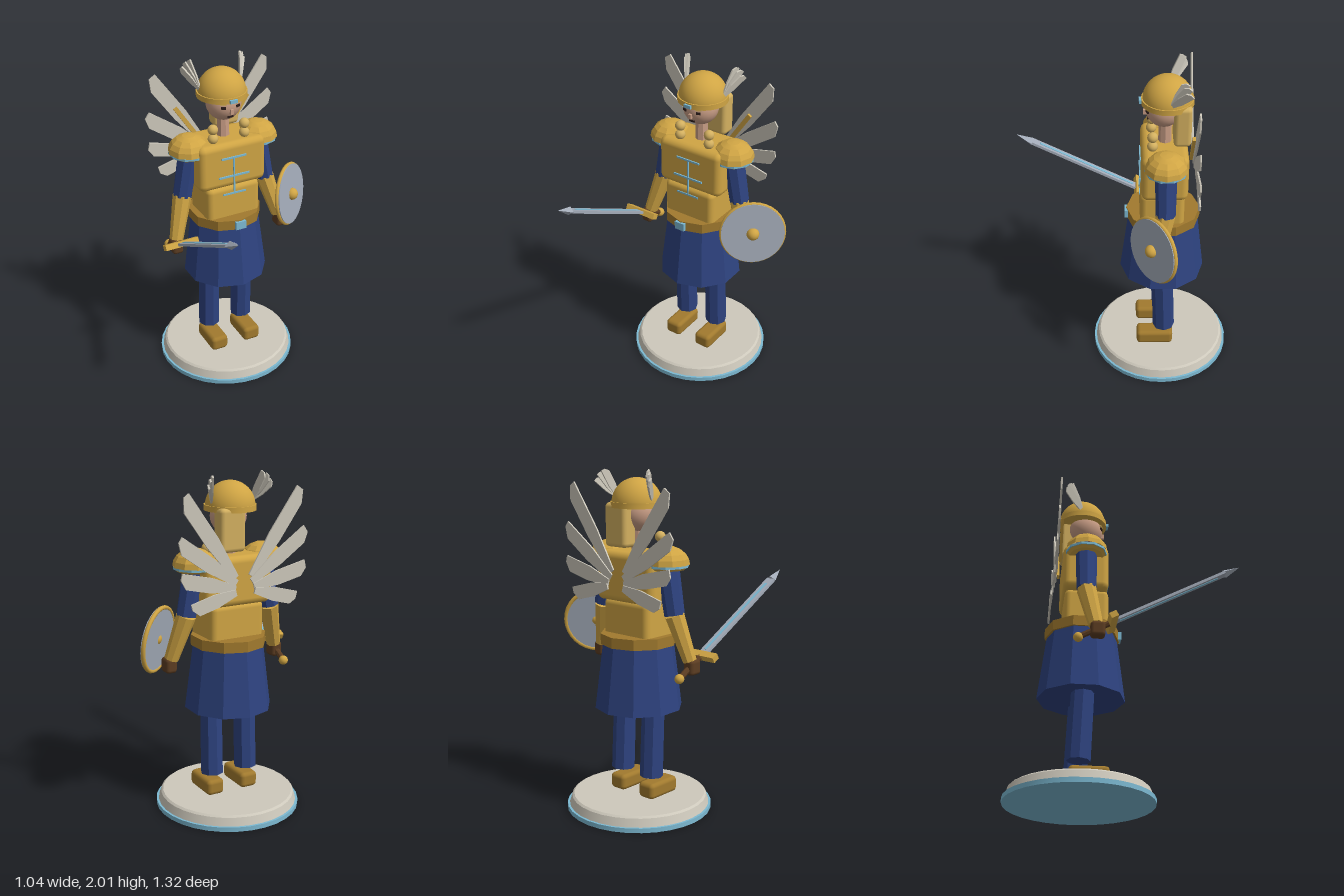
import * as THREE from 'three';
import { RoundedBoxGeometry } from 'three/addons/geometries/RoundedBoxGeometry.js';
import { toCreasedNormals } from 'three/addons/utils/BufferGeometryUtils.js';

const V = (x, y, z) => new THREE.Vector3(x, y, z);

export function createModel() {
  const model = new THREE.Group();
  const figure = new THREE.Group();
  figure.name = 'warriorFigure';
  figure.position.set(-0.063, 0, -0.235);
  model.add(figure);

  const material = (name, color) => {
    const m = new THREE.MeshStandardMaterial({ color });
    m.name = name;
    return m;
  };
  const gold = material('gold', 0xd0a544);
  const bronze = material('bronze', 0xa17a2e);
  const leather = material('leather', 0x5c3d22);
  const navy = material('navy', 0x2e4380);
  const cyan = material('paleBlue', 0x7cb9d2);
  const ivory = material('ivory', 0xcdc8bb);
  const steel = material('steel', 0xa3abb8);
  const skin = material('skin', 0xc79c84);
  const blond = material('blond', 0xd3b060);
  const dark = material('dark', 0x2a1c1a);

  const add = (name, geo, mat, pos = V(0, 0, 0), parent = figure) => {
    const mesh = new THREE.Mesh(geo, mat);
    mesh.name = name;
    mesh.position.copy(pos);
    parent.add(mesh);
    return mesh;
  };
  const faceted = (geo) => toCreasedNormals(geo, 0.3);
  const box = (w, h, d) => new THREE.BoxGeometry(w, h, d);
  const rounded = (w, h, d, r) => new RoundedBoxGeometry(w, h, d, 2, r);
  const cyl = (rt, rb, h, n) => faceted(new THREE.CylinderGeometry(rt, rb, h, n));
  const ball = (r) => new THREE.SphereGeometry(r, 16, 12);

  // Tapered faceted limb between two points
  const limb = (name, a, b, ra, rb, mat) => {
    const dir = b.clone().sub(a);
    const mesh = add(name, cyl(rb, ra, dir.length(), 8), mat, a.clone().add(b).multiplyScalar(0.5));
    mesh.quaternion.setFromUnitVectors(V(0, 1, 0), dir.normalize());
  };

  // Thin feather with a slanted tip, lying across the given normal
  const feather = (name, root, tip, width, normal, slant) => {
    const dir = tip.clone().sub(root);
    const len = dir.length();
    const w = width / 2;
    const shape = new THREE.Shape([
      [-w * 0.45, 0], [w * 0.45, 0], [w, len * 0.45], [w, len * (slant > 0 ? 0.88 : 1)],
      [-w * 0.1, len], [-w, len * (slant > 0 ? 1 : 0.88)], [-w, len * 0.45],
    ].map(([x, y]) => new THREE.Vector2(x, y)));
    const geo = new THREE.ExtrudeGeometry(shape, { depth: 0.01, bevelEnabled: false });
    geo.translate(0, 0, -0.005);
    const y = dir.normalize();
    const x = y.clone().cross(normal).normalize();
    const z = x.clone().cross(y);
    add(name, geo, ivory, root).quaternion.setFromRotationMatrix(new THREE.Matrix4().makeBasis(x, y, z));
  };

  // Round plinth
  add('plinthTrim', toCreasedNormals(new THREE.CylinderGeometry(0.43, 0.43, 0.027, 32), 0.5), cyan, V(0, 0.0135, 0));
  const plinth = [[0, 0.025], [0.417, 0.025], [0.412, 0.04], [0.402, 0.075], [0.39, 0.085], [0, 0.085]];
  add('plinth', toCreasedNormals(new THREE.LatheGeometry(plinth.map(([x, y]) => new THREE.Vector2(x, y)), 32), 0.3), ivory);

  // Skirt, belt and torso
  add('skirt', cyl(0.208, 0.258, 0.4, 10), navy, V(0, 0.82, 0));
  add('belt', cyl(0.222, 0.222, 0.062, 10), bronze, V(0, 1.033, 0));
  add('beltBuckle', box(0.066, 0.05, 0.02), cyan, V(0, 1.033, 0.222));
  add('waist', rounded(0.345, 0.24, 0.26, 0.035), gold, V(0, 1.145, 0.012));
  add('chest', rounded(0.435, 0.29, 0.27, 0.04), gold, V(0, 1.395, 0.003));

  // Chest inlay
  add('inlayStem', box(0.009, 0.24, 0.008), cyan, V(0, 1.33, 0.141));
  [[1.45, 0.16], [1.33, 0.2], [1.215, 0.15]].forEach(([y, w]) =>
    add('inlayBar', box(w, 0.011, 0.008), cyan, V(0, y, 0.143)));

  // Neck, head and face
  add('neck', cyl(0.036, 0.04, 0.18, 8), skin, V(0, 1.59, 0));
  add('head', new THREE.SphereGeometry(0.105, 24, 16), skin, V(0, 1.75, 0.01));
  add('nose', box(0.018, 0.03, 0.02), skin, V(0, 1.728, 0.117));
  add('mouth', box(0.036, 0.01, 0.009), dark, V(0, 1.692, 0.1));
  for (const s of [1, -1]) {
    add('eye', box(0.026, 0.014, 0.009), dark, V(s * 0.046, 1.754, 0.105)).rotation.y = s * 0.4;
    add('brow', box(0.036, 0.007, 0.009), blond, V(s * 0.046, 1.773, 0.103)).rotation.y = s * 0.4;
  }
  add('backHair', rounded(0.16, 0.25, 0.1, 0.025), blond, V(0.05, 1.69, -0.093));

  // Helmet
  const dome = new THREE.SphereGeometry(0.143, 28, 12, 0, Math.PI * 2, 0, Math.PI / 2);
  add('helmetDome', dome, gold, V(0, 1.81, -0.01));
  add('helmetRim', toCreasedNormals(new THREE.CylinderGeometry(0.15, 0.15, 0.032, 28), 0.5), gold, V(0, 1.803, -0.01));
  add('helmetGem', box(0.046, 0.02, 0.02), cyan, V(0, 1.802, 0.142));

  for (const s of [1, -1]) {
    // Helmet wing
    [[0.165, 1.995, -0.1], [0.187, 1.978, -0.115], [0.203, 1.945, -0.125]].forEach(([x, y, z]) =>
      feather('helmetFeather', V(s * 0.13, 1.835, -0.025), V(s * x, y, z), 0.045, V(s, -0.15, 0.35), -1));

    // Braid beads
    [1.62, 1.562].forEach((y) => add('braidBead', ball(0.031), blond, V(s * 0.102, y, 0.075)));

    // Back wing fanned behind the shoulders
    [
      [0.05, 1.43, 0.38, 1.895, 0.085, -0.165],
      [0.05, 1.4, 0.415, 1.655, 0.085, -0.173],
      [0.06, 1.37, 0.405, 1.45, 0.085, -0.181],
      [0.06, 1.35, 0.335, 1.275, 0.08, -0.189],
    ].forEach(([rx, ry, tx, ty, w, z]) =>
      feather('wingFeather', V(s * rx, ry, z), V(s * tx, ty, z), w, V(0, 0, 1), s));
    const strut = add('wingStrut', box(0.026, 0.26, 0.016), gold, V(s * 0.165, 1.585, -0.147));
    strut.rotation.z = -s * 0.58;

    // Shoulder guard
    const pad = faceted(new THREE.SphereGeometry(0.126, 10, 5, 0, Math.PI * 2, 0, Math.PI / 2));
    pad.scale(1, 0.82, 1);
    add('shoulderGuard', pad, gold, V(s * 0.223, 1.483, 0));
    add('shoulderTrim', cyl(0.122, 0.122, 0.014, 10), cyan, V(s * 0.223, 1.476, 0));
    add('shoulderBase', cyl(0.116, 0.1, 0.014, 10), gold, V(s * 0.223, 1.462, 0));

    // Arm
    const elbow = V(s * 0.277, 1.2, 0);
    limb('upperArm', V(s * 0.225, 1.48, 0), elbow, 0.064, 0.058, navy);
    limb('forearm', elbow, V(s * 0.348, 0.94, 0.05), 0.058, 0.042, gold);
    add('hand', rounded(0.07, 0.09, 0.085, 0.02), leather, V(s * 0.357, 0.905, 0.06));

    // Leg and boot
    limb('leg', V(s * 0.115, 0.215, -0.017), V(s * 0.113, 0.75, 0.006), 0.068, 0.066, navy);
    add('boot', rounded(0.112, 0.095, 0.23, 0.025), bronze, V(s * 0.115, 0.1325, 0.04));
  }

  // Sword, built along local y and swung forward
  const sword = new THREE.Group();
  sword.name = 'sword';
  sword.position.set(-0.357, 0.957, 0.14);
  sword.rotation.x = Math.PI / 2 - 0.493;
  figure.add(sword);
  add('guard', box(0.212, 0.045, 0.035), gold, V(0, 0, 0), sword);
  add('grip', cyl(0.018, 0.018, 0.2, 8), leather, V(0, -0.11, 0), sword);
  add('pommel', ball(0.028), gold, V(0, -0.215, 0), sword);
  add('blade', box(0.056, 0.74, 0.016), steel, V(0, 0.38, 0), sword);
  add('bladeInlay', box(0.016, 0.65, 0.022), cyan, V(0, 0.37, 0), sword);
  const tip = faceted(new THREE.ConeGeometry(0.036, 0.105, 4));
  tip.scale(1, 1, 0.7);
  add('bladeTip', tip, steel, V(0, 0.8, 0), sword);

  // Round shield, facing forward and outward
  const shield = new THREE.Group();
  shield.name = 'shield';
  shield.position.set(0.422, 1.064, 0.073);
  shield.rotation.set(-0.12, 0.655, 0, 'YXZ');
  figure.add(shield);
  const disc = toCreasedNormals(new THREE.CylinderGeometry(0.19, 0.19, 0.026, 32), 0.5);
  disc.rotateX(Math.PI / 2);
  add('shieldFace', disc, steel, V(0, 0, 0), shield);
  add('shieldRim', new THREE.TorusGeometry(0.187, 0.013, 8, 32), gold, V(0, 0, -0.004), shield);
  add('shieldBoss', ball(0.038), gold, V(0, 0, 0.015), shield);

  return model;
}
